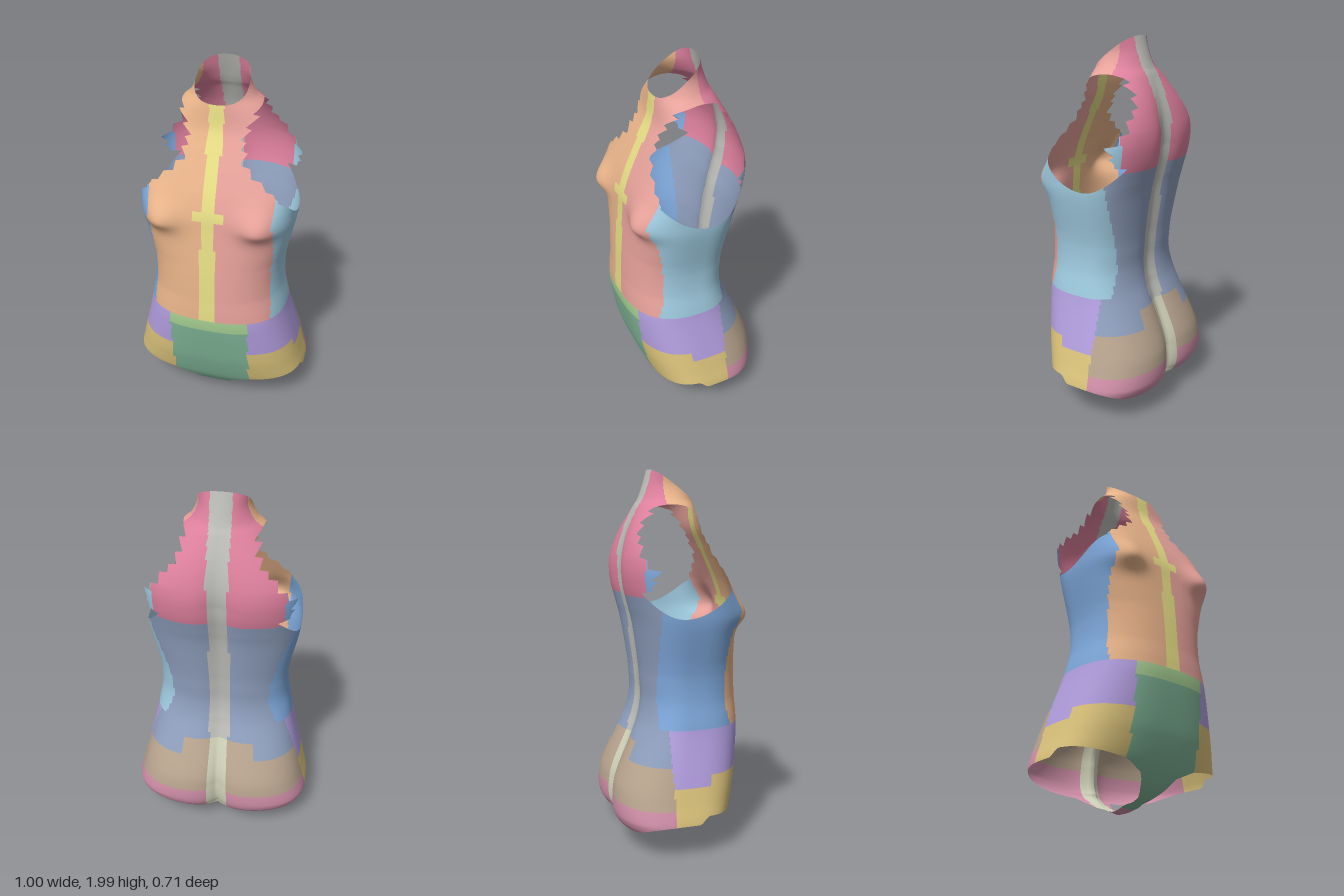
import * as THREE from 'three';

// Cross-sections, top to bottom: height, half width, front z, back z
const RINGS = [
  [2.0, .145, .13, -.11], [1.92, .135, .125, -.135], [1.85, .165, .125, -.16], [1.8, .22, .13, -.19],
  [1.7, .31, .145, -.24], [1.6, .38, .19, -.275], [1.5, .41, .237, -.292], [1.4, .415, .28, -.285],
  [1.3, .412, .31, -.26], [1.2, .405, .32, -.235], [1.0, .365, .338, -.204], [.9, .355, .345, -.195],
  [.8, .36, .35, -.19], [.7, .38, .355, -.205], [.6, .4, .352, -.245], [.4, .45, .32, -.338],
  [.3, .475, .295, -.365], [.2, .5, .26, -.365], [.14, .49, .225, -.34], [.1, .42, .19, -.28],
  [.06, .28, .13, -.2], [.04, .12, .05, -.14], [.01, .001, -.07, -.08]];
// By height: how square the front and back halves are, and how deep the spine groove is
const FRONT_SQUARE = [[.04, 2], [.2, 3], [.8, 2.5], [1, 2.6], [1.4, 3.6], [1.6, 3], [1.85, 2]];
const BACK_SQUARE = [[.04, 2], [.2, 2.9], [.8, 2.5], [1.2, 2.6], [1.55, 2.9], [1.85, 2]];
const GROOVE = [[.04, 0], [.15, .08], [.3, .08], [.7, .03], [1, .03], [1.45, .045], [1.85, 0]];
const SIDES = 160, STEPS = 9;

const lerp = THREE.MathUtils.lerp, smooth = THREE.MathUtils.smoothstep;

// Piecewise linear lookup in pairs [key, value] with rising keys
function lookup(pairs, k) {
  if (k <= pairs[0][0]) return pairs[0][1];
  for (let i = 1; i < pairs.length; i++) {
    const [a, va] = pairs[i - 1], [b, vb] = pairs[i];
    if (k <= b) return lerp(va, vb, (k - a) / (b - a));
  }
  return pairs[pairs.length - 1][1];
}

// Smooth blend of the cross-section table at position u
function ringAt(u) {
  const i = Math.min(Math.floor(u), RINGS.length - 2), t = u - i;
  const row = n => RINGS[THREE.MathUtils.clamp(n, 0, RINGS.length - 1)];
  const [a, b, c, d] = [row(i - 1), row(i), row(i + 1), row(i + 2)];
  return b.map((_, k) => b[k] + .5 * t * (c[k] - a[k] + t * (2 * a[k] - 5 * b[k] + 4 * c[k] - d[k]
    + t * (3 * (b[k] - c[k]) + d[k] - a[k]))));
}

function bodyPoint(u, angle) {
  const [y, w, f, b] = ringAt(u);
  const c = Math.cos(angle), s = Math.sin(angle), n = lookup(s > 0 ? FRONT_SQUARE : BACK_SQUARE, y);
  const r = (Math.abs(c) ** n + Math.abs(s) ** n) ** (-1 / n);
  const middle = (f + b) / 2 * lerp(1, .4, smooth(y, .02, .15));
  const x = w * r * c;
  let z = middle + r * s * (s > 0 ? f - middle : middle - b);
  if (s < 0) {
    // Spine groove, sharper between the seat halves
    const power = lerp(1, 1.7, smooth(y, .4, .7));
    z += lookup(GROOVE, y) * Math.exp(-((Math.abs(x) / .075) ** power)) * smooth(-s, 0, .5);
  } else {
    // Chest: fuller below the centre than above it
    const dx = (Math.abs(x) - .265) / .1, dy = (y - 1.25) / (y < 1.25 ? .06 : .1);
    z += .06 * Math.exp(-dx * dx - dy * dy) * smooth(s, 0, .4);
  }
  return [x, y, z];
}

// Openings: half width left above the armholes, and height of the leg hem
const FRONT_STRAP = [[1.4, .34], [1.45, .28], [1.5, .21], [1.57, .14], [1.65, .13], [1.7, .145],
  [1.78, .18], [1.83, .2], [1.87, .5]];
const BACK_STRAP = [[1.4, .36], [1.47, .375], [1.5, .36], [1.55, .31], [1.62, .25], [1.66, .215], [1.72, .185],
  [1.8, .17], [1.85, .19], [1.88, .5]];
const FRONT_HEM = [[.02, 0], [.035, .05], [.08, .1], [.11, .15], [.22, .2], [.5, .24]];
const BACK_HEM = [[.03, 0], [.06, .06], [.11, .115], [.25, .125], [.4, .155], [.5, .2]];

// Positive where cloth remains, negative in an opening
function keep([x, y, z]) {
  const ax = Math.abs(x), front = smooth(z, -.06, .06);
  const neck = 2.001 - .75 * (z + .11) - y;
  const armhole = 1.25 + (z > -.03 ? 1.9 : 3.2) * (z + .03) ** 2 - y;
  const teeth = (.045 * ((y * 18) % 1) - .01) * smooth(y, 1.4, 1.46);
  const strap = lerp(lookup(BACK_STRAP, y), lookup(FRONT_STRAP, y), front) + teeth - ax;
  const hem = y - lerp(lookup(BACK_HEM, ax), lookup(FRONT_HEM, ax), smooth(z, .02, .08));
  return Math.min(neck, hem, Math.max(armhole, y > 1.38 ? strap : armhole));
}

const COLORS = {
  frontStrip: 0xe8df86, chestLeft: 0xe8a39b, chestRight: 0xe9b48a, sideLeft: 0x9fcbe0, sideRight: 0x7fa9dc,
  upperBack: 0xdd809d, spineStrip: 0xbcbcb8, middleBack: 0x8f9fbd, waistband: 0xa6cf93, frontPanel: 0x7fb496,
  hipPanel: 0xb39fe0, lowerHip: 0xdcc47c, seatTop: 0xb9a58f, seatBottom: 0xd08fa8, seatStrip: 0xcfd1b8
};

// Panel that a spot on the body belongs to
function panelAt(x, y, z) {
  const ax = Math.abs(x), side = x > 0 ? 'Left' : 'Right';
  if (y < .67) {
    if (z > 0 && ax < .22) return y > .6 ? 'waistband' : 'frontPanel';
    if (z < -.1 && y < (ax < .2 ? .58 : .5)) {
      if (ax < .055) return 'seatStrip';
      return y > .28 ? 'seatTop' : 'seatBottom';
    }
    if (z < -.1) return ax < .055 ? 'spineStrip' : 'middleBack';
    if (y < .15) return z > 0 ? 'frontPanel' : 'seatBottom';
    return y > .38 + (z > .1 ? .06 : 0) ? 'hipPanel' : 'lowerHip';
  }
  if (y > 1.4 ? z > -.06 : z > .22) {
    if (ax < .038 || (ax < .075 && y > 1.27 && y < 1.32)) return 'frontStrip';
    return ax > .325 ? 'side' + side : 'chest' + side;
  }
  if (z < -.1 && ax < .055) return 'spineStrip';
  if (y > 1.36 && z < 0) return ax > .34 ? 'side' + side : 'upperBack';
  return z < -.14 ? 'middleBack' : 'side' + side;
}

// Cut a polygon along the edge of the openings
function clip(corners) {
  const out = [];
  corners.forEach((a, i) => {
    const b = corners[(i + 1) % corners.length];
    if (a.k >= 0) out.push(a);
    if ((a.k >= 0) !== (b.k >= 0)) {
      const t = a.k / (a.k - b.k);
      out.push({ p: a.p.map((v, j) => lerp(v, b.p[j], t)), n: a.n.map((v, j) => lerp(v, b.n[j], t)), k: 0 });
    }
  });
  return out;
}

export function createModel() {
  // Full closed body first, for smooth normals
  const rows = (RINGS.length - 1) * STEPS, points = [], index = [];
  for (let i = 0; i <= rows; i++)
    for (let j = 0; j < SIDES; j++) points.push(bodyPoint(i / STEPS, j / SIDES * Math.PI * 2));
  for (let i = 0; i < rows; i++)
    for (let j = 0; j < SIDES; j++) {
      const a = i * SIDES + j, b = i * SIDES + (j + 1) % SIDES;
      index.push(a, b, a + SIDES, b, b + SIDES, a + SIDES);
    }
  const body = new THREE.BufferGeometry();
  body.setAttribute('position', new THREE.Float32BufferAttribute(points.flat(), 3));
  body.setIndex(index);
  body.computeVertexNormals();
  const normals = body.attributes.normal;
  const verts = points.map((p, i) => ({ p, n: [normals.getX(i), normals.getY(i), normals.getZ(i)], k: keep(p) }));

  // Cut the openings and sort the faces into panels
  const panels = {};
  for (let q = 0; q < index.length; q += 6) {
    const a = points[index[q]], d = points[index[q + 4]];
    const name = panelAt(...a.map((v, i) => (v + d[i]) / 2));
    const panel = panels[name] ??= { position: [], normal: [] };
    for (const o of [q, q + 3]) {
      const poly = clip([0, 1, 2].map(i => verts[index[o + i]]));
      for (let i = 2; i < poly.length; i++)
        for (const v of [poly[0], poly[i - 1], poly[i]]) {
          panel.position.push(...v.p);
          panel.normal.push(...v.n);
        }
    }
  }

  const group = new THREE.Group();
  group.name = 'torsoShell';
  for (const [name, { position, normal }] of Object.entries(panels)) {
    const geometry = new THREE.BufferGeometry();
    geometry.setAttribute('position', new THREE.Float32BufferAttribute(position, 3));
    geometry.setAttribute('normal', new THREE.Float32BufferAttribute(normal, 3));
    const mesh = new THREE.Mesh(geometry,
      new THREE.MeshStandardMaterial({ color: COLORS[name], side: THREE.DoubleSide }));
    mesh.name = name;
    group.add(mesh);
  }
  return group;
}
